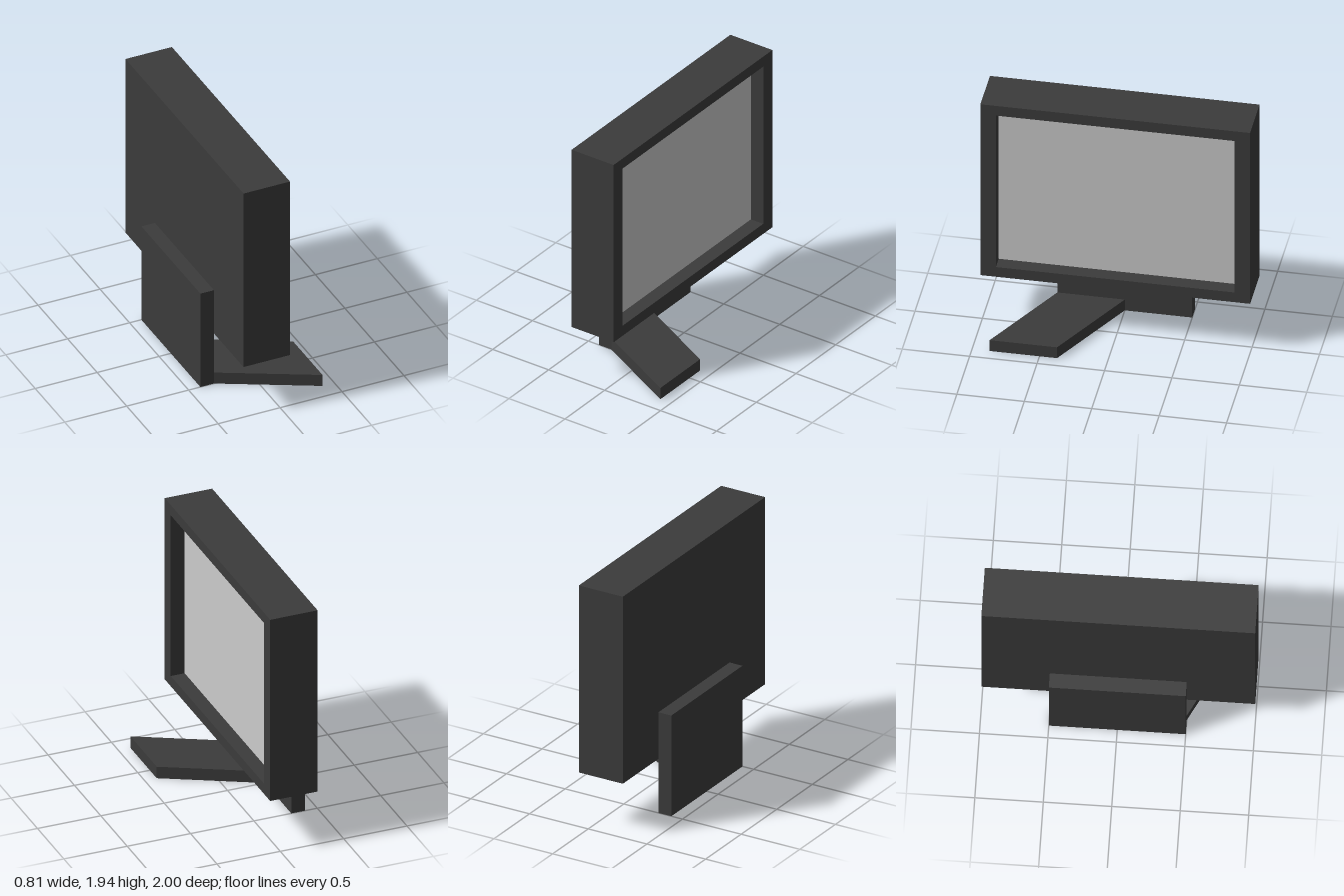
import * as THREE from 'three';

const dark = new THREE.MeshStandardMaterial({ color: 0x3b3b3b });
const grey = new THREE.MeshStandardMaterial({ color: 0xcccccc });

function add(group, name, geometry, material) {
  const mesh = new THREE.Mesh(geometry, material);
  mesh.name = name;
  group.add(mesh);
  return mesh;
}

// Shell joining rectangular rings [x, half width in z, bottom, top], closed at the first ring
function ringShell(rings) {
  const corners = rings.map(([x, h, y0, y1]) => [[x, y0, h], [x, y0, -h], [x, y1, -h], [x, y1, h]]);
  const positions = [];
  const quad = (a, b, c, d) => positions.push(...a, ...b, ...c, ...a, ...c, ...d);
  const [c0, c1, c2, c3] = corners[0];
  quad(c0, c3, c2, c1);
  for (let r = 0; r < corners.length - 1; r++) {
    const p = corners[r], q = corners[r + 1];
    for (let i = 0; i < 4; i++) {
      const j = (i + 1) % 4;
      quad(p[i], p[j], q[j], q[i]);
    }
  }
  const geometry = new THREE.BufferGeometry();
  geometry.setAttribute('position', new THREE.Float32BufferAttribute(positions, 3));
  geometry.computeVertexNormals();
  return geometry;
}

export function createModel() {
  const model = new THREE.Group();
  model.name = 'monitor';

  const back = -0.295, front = 0.08, screenX = -0.03;
  const bottom = 0.435, top = 1.94;
  const openHalf = 0.885, openBottom = 0.52, openTop = 1.855;

  // Housing: back, sides, bezel and recess walls
  add(model, 'housing', ringShell([
    [back, 1, bottom, top],
    [front, 1, bottom, top],
    [front, openHalf, openBottom, openTop],
    [screenX, openHalf, openBottom, openTop],
  ]), dark);

  // Recessed screen facing +x
  const screen = add(model, 'screen', new THREE.PlaneGeometry(openHalf * 2, openTop - openBottom), grey);
  screen.rotation.y = Math.PI / 2;
  screen.position.set(screenX, (openBottom + openTop) / 2, 0);

  // Upright plate behind the housing
  const plate = add(model, 'standPlate', new THREE.BoxGeometry(0.11, 0.81, 1), dark);
  plate.position.set(back - 0.055, 0.405, 0);

  // Slanted foot: a parallelogram seen from above, given as (x, -z)
  const outline = new THREE.Shape([
    new THREE.Vector2(back, -0.5),
    new THREE.Vector2(0.405, -0.87),
    new THREE.Vector2(0.405, -0.37),
    new THREE.Vector2(back, 0),
  ]);
  const foot = new THREE.ExtrudeGeometry(outline, { depth: 0.095, bevelEnabled: false });
  foot.rotateX(-Math.PI / 2);
  add(model, 'foot', foot, dark);

  return model;
}
